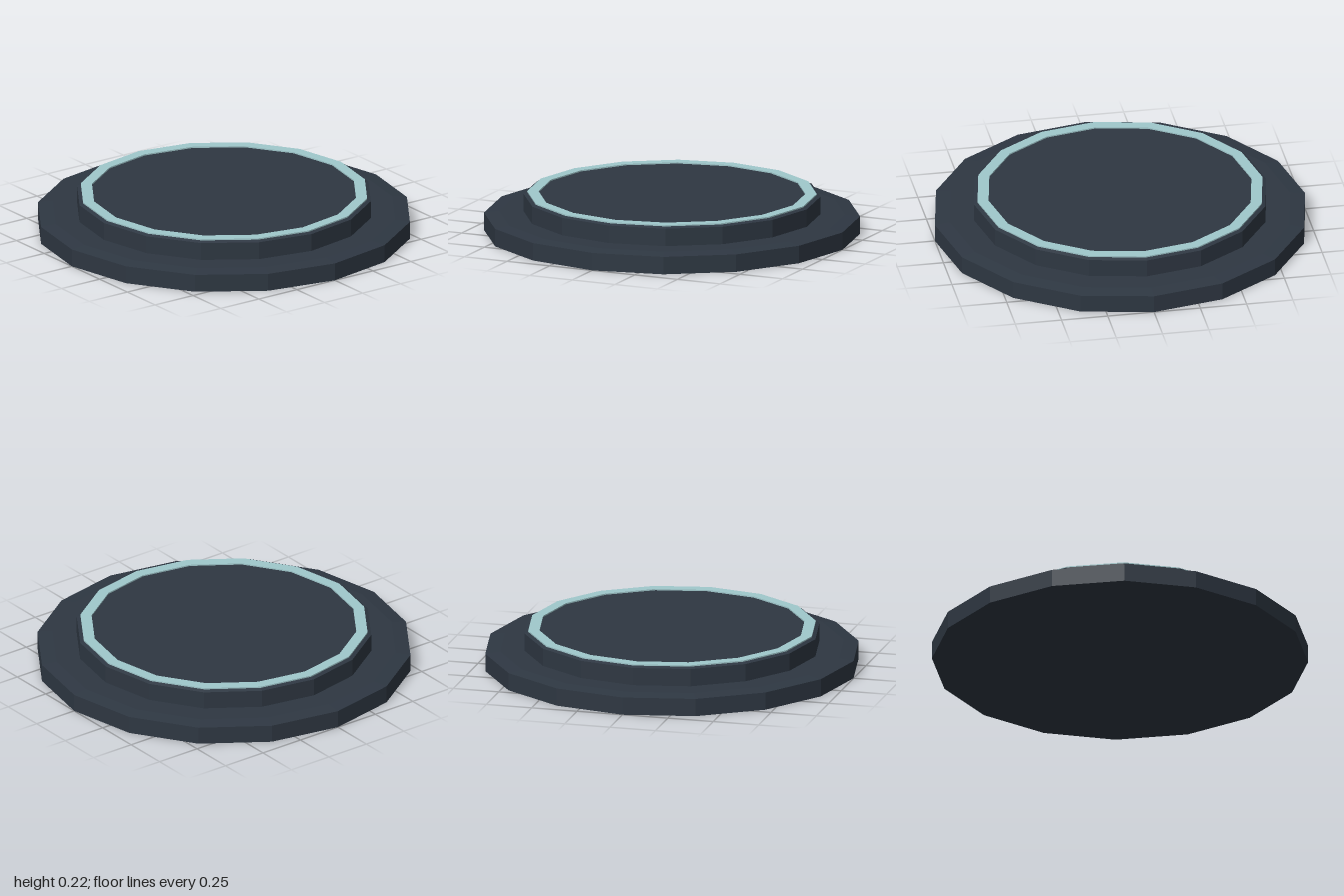
import * as THREE from 'three';

const SIDES = 16;

const slate = new THREE.MeshStandardMaterial({ color: 0x2e3742, flatShading: true });
slate.name = 'dark slate';
const paleTeal = new THREE.MeshStandardMaterial({ color: 0xa0c8cc, flatShading: true });
paleTeal.name = 'pale teal';

// Turns a [radius, height] profile into a sixteen-sided solid
function turned(name, profile, material) {
  const points = profile.map(([r, y]) => new THREE.Vector2(r, y));
  const mesh = new THREE.Mesh(new THREE.LatheGeometry(points, SIDES), material);
  mesh.name = name;
  return mesh;
}

export function createModel() {
  const model = new THREE.Group();
  model.name = 'platform';

  // Wide lower step with a gently bevelled rim
  model.add(turned('base', [[0, 0], [1, 0], [1, 0.095], [0.92, 0.105], [0, 0.105]], slate));

  // Raised upper step
  model.add(turned('upperStep', [[0.79, 0.1], [0.79, 0.2], [0.77, 0.208], [0, 0.208]], slate));

  // Thin inlaid ring around the top edge
  model.add(turned('trimRing',
    [[0.71, 0.206], [0.77, 0.206], [0.77, 0.215], [0.71, 0.215], [0.71, 0.206]], paleTeal));

  return model;
}
